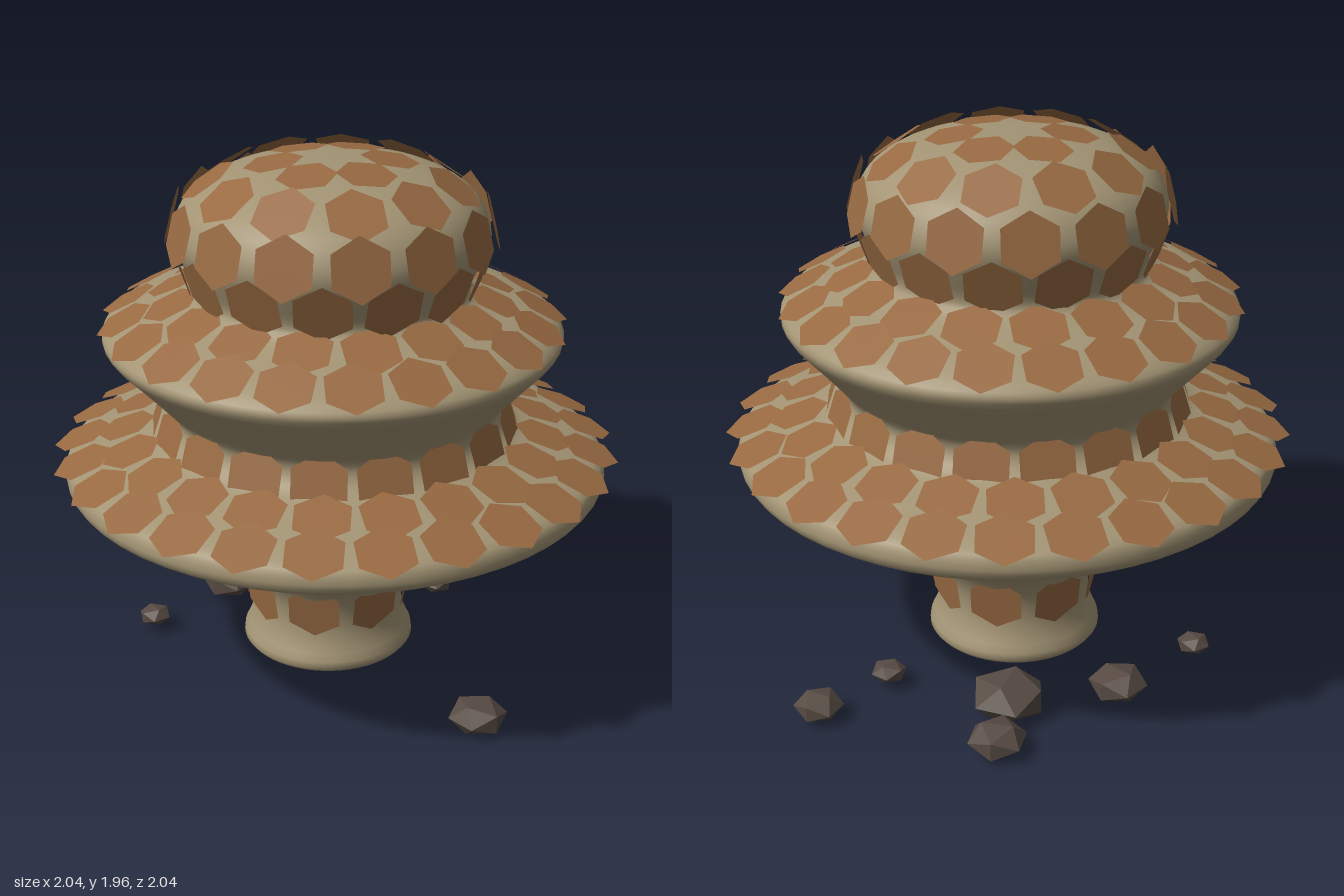
import * as THREE from 'three';
import { mergeGeometries } from 'three/addons/utils/BufferGeometryUtils.js';

const rad = THREE.MathUtils.degToRad;

// Slight sideways drift of the trunk axis: [height, x, z]
const AXIS = [[0, -0.05, 0], [0.35, -0.05, 0], [0.85, 0, 0], [1.3, 0.005, 0.015], [1.65, 0.035, 0.04], [2, 0.035, 0.04]];
function axisAt(y) {
  let i = 0;
  while (i < AXIS.length - 2 && y > AXIS[i + 1][0]) i++;
  const [a, b] = [AXIS[i], AXIS[i + 1]];
  const t = THREE.MathUtils.clamp((y - a[0]) / (b[0] - a[0]), 0, 1);
  return [a[1] + (b[1] - a[1]) * t, a[2] + (b[2] - a[2]) * t];
}

// Body outline, radius and height, from the foot to the crown
const PROFILE = [
  [0, 0.05], [0.14, 0.05], [0.25, 0.06], [0.318, 0.1], [0.29, 0.18], [0.277, 0.26], [0.295, 0.36],
  [0.36, 0.46], [0.48, 0.555], [0.68, 0.655], [0.86, 0.74], [0.962, 0.795], [0.975, 0.85], [0.94, 0.895],
  [0.8, 0.94], [0.68, 0.975], [0.62, 1.015], [0.6, 1.08], [0.66, 1.16], [0.74, 1.25], [0.812, 1.335],
  [0.79, 1.385], [0.7, 1.43], [0.58, 1.465], [0.5, 1.5], [0.485, 1.545], [0.515, 1.62], [0.545, 1.7],
  [0.54, 1.77], [0.49, 1.85], [0.38, 1.915], [0.22, 1.955], [0.1, 1.965], [0, 1.967],
];

function bodyGeometry() {
  const curve = new THREE.SplineCurve(PROFILE.map(([r, y]) => new THREE.Vector2(r, y)));
  const pts = curve.getPoints(99);
  pts.forEach((p) => { p.x = Math.max(0, p.x); });
  const geo = new THREE.LatheGeometry(pts, 56);
  const pos = geo.attributes.position;
  for (let i = 0; i < pos.count; i++) {
    const [dx, dz] = axisAt(pos.getY(i));
    pos.setX(i, pos.getX(i) + dx);
    pos.setZ(i, pos.getZ(i) + dz);
  }
  return geo;
}

// Rows of plates: name, radius, height, upward tilt in degrees, count, plate size, phase
const ROWS = [
  ['stemPlates', 0.297, 0.325, -8, 8, 0.108, 0],
  ['lowerCapOuterPlates', 0.92, 0.918, 68, 25, 0.112, 0.5],
  ['lowerCapInnerPlates', 0.755, 0.967, 71, 21, 0.11, 0],
  ['lowerCollarPlates', 0.64, 1.03, 18, 18, 0.11, 0.5],
  ['middleCapOuterPlates', 0.735, 1.426, 62, 21, 0.108, 0.5],
  ['middleCapInnerPlates', 0.57, 1.487, 66, 16, 0.108, 0],
  ['crownLowerPlates', 0.527, 1.605, -19, 14, 0.112, 0],
  ['crownSidePlates', 0.555, 1.765, 14, 14, 0.112, 0.5],
  ['crownShoulderPlates', 0.425, 1.905, 55, 11, 0.11, 0],
  ['crownTopPlates', 0.2, 1.967, 80, 6, 0.105, 0.5],
];

function plateRow(r, y, tilt, count, size, phase) {
  const [dx, dz] = axisAt(y);
  const plates = [];
  for (let i = 0; i < count; i++) {
    plates.push(new THREE.CircleGeometry(size, 6)
      .rotateZ(Math.PI / 6)
      .rotateX(-rad(tilt))
      .translate(0, y, r)
      .rotateY(((i + phase) / count) * Math.PI * 2)
      .translate(dx, 0, dz));
  }
  return mergeGeometries(plates);
}

// Loose stones: x, z, size
const STONES = [
  [-0.54, 0.48, 0.063], [0.745, -0.09, 0.108], [-0.61, 0.09, 0.108], [-0.11, -0.575, 0.066],
  [-0.17, -0.89, 0.09], [-0.49, -0.3, 0.145], [-0.675, -0.46, 0.108],
];

export function createModel() {
  const clay = new THREE.MeshStandardMaterial({ color: 0xa39474 });
  clay.name = 'tan body';
  const brown = new THREE.MeshStandardMaterial({ color: 0x986a42, side: THREE.DoubleSide });
  brown.name = 'brown plate';
  const stone = new THREE.MeshStandardMaterial({ color: 0x574b43, flatShading: true });
  stone.name = 'dark stone';

  const model = new THREE.Group();
  model.name = 'tieredMushroom';
  const add = (name, geo, mat) => {
    const mesh = new THREE.Mesh(geo, mat);
    mesh.name = name;
    model.add(mesh);
    return mesh;
  };

  add('body', bodyGeometry(), clay);
  for (const [name, ...row] of ROWS) add(name, plateRow(...row), brown);

  // Flattened stones scattered round the foot
  STONES.forEach(([x, z, size], i) => {
    const mesh = add('stone' + (i + 1), new THREE.IcosahedronGeometry(size, 0), stone);
    mesh.scale.set(1, 0.6, 1);
    mesh.rotation.y = i * 1.7;
    mesh.position.set(x, size > 0.14 ? 0.095 : 0.08, z);
  });
  return model;
}
